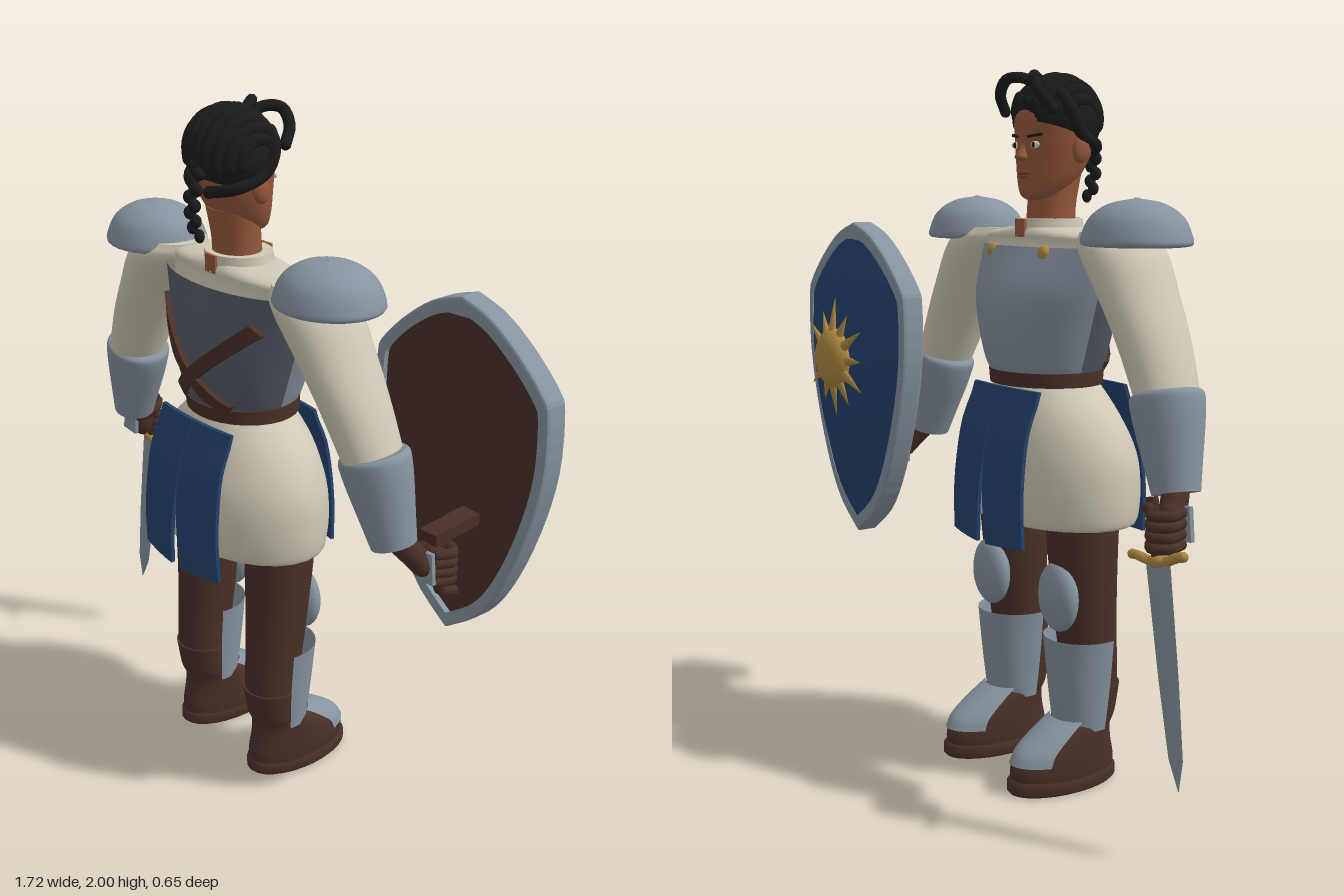
import * as THREE from 'three';
import { mergeGeometries } from 'three/addons/utils/BufferGeometryUtils.js';

const mat = (name, color, side = THREE.FrontSide) => {
  const m = new THREE.MeshStandardMaterial({ color, side });
  m.name = name;
  return m;
};
const D = THREE.DoubleSide;
const V = (x, y, z) => new THREE.Vector3(x, y, z);

// Skin from rising horizontal rings [y, cx, cz, rx, rz]; an angle of 0 points to +z
function loft(rings, { n = 28, a0 = 0, a1 = Math.PI * 2, steps = 4 } = {}) {
  const full = a1 - a0 > 6.28;
  let list = rings;
  if (steps > 1) {
    const c = new THREE.CatmullRomCurve3(rings.map(r => V(r[0], r[1], r[2])), false, 'catmullrom');
    const e = new THREE.CatmullRomCurve3(rings.map(r => V(r[3], r[4], 0)), false, 'catmullrom');
    const k = (rings.length - 1) * steps;
    list = Array.from({ length: k + 1 }, (_, i) => {
      const p = c.getPoint(i / k), q = e.getPoint(i / k);
      return [p.x, p.y, p.z, q.x, q.y];
    });
  }
  if (full) {
    const f = list[0], l = list[list.length - 1];
    const point = r => [r[0], r[1], r[2], 0, 0];
    list = [point(f), f, ...list, l, point(l)];
  }
  const w = full ? n : n + 1, pos = [], idx = [];
  for (const [y, cx, cz, rx, rz] of list)
    for (let i = 0; i < w; i++) {
      const a = a0 + (a1 - a0) * i / n;
      pos.push(cx + rx * Math.sin(a), y, cz + rz * Math.cos(a));
    }
  for (let j = 0; j < list.length - 1; j++)
    for (let i = 0; i < n; i++) {
      const p = j * w + i, q = j * w + (i + 1) % w;
      idx.push(p, q, q + w, p, q + w, p + w);
    }
  const g = new THREE.BufferGeometry();
  g.setAttribute('position', new THREE.Float32BufferAttribute(pos, 3));
  g.setIndex(idx);
  g.computeVertexNormals();
  return g;
}

// Move every vertex of a geometry by a rule
function bend(g, rule) {
  const p = g.attributes.position;
  for (let i = 0; i < p.count; i++) p.setXYZ(i, ...rule(p.getX(i), p.getY(i), p.getZ(i)));
  g.computeVertexNormals();
  return g;
}

export function createModel() {
  const skin = mat('skin', 0x97583c), hair = mat('hair', 0x1b1b1c, D), cream = mat('creamCloth', 0xcfc9b6);
  const steel = mat('steel', 0x8794a0, D), dark = mat('darkSteel', 0x555c66, D), brown = mat('brownLeather', 0x4a3028);
  const blue = mat('blueCloth', 0x24426e), gold = mat('gold', 0xb08a42), white = mat('eyeWhite', 0xe6e2da), lip = mat('lips', 0x75402f);

  const model = new THREE.Group();
  model.name = 'knight';
  const add = (name, geo, m, parent = body) => {
    const o = new THREE.Mesh(geo, m);
    o.name = name;
    parent.add(o);
    return o;
  };
  const group = (name, parent = body) => {
    const o = new THREE.Group();
    o.name = name;
    parent.add(o);
    return o;
  };
  const ball = (name, m, p, s, parent = body) => {
    const o = add(name, new THREE.SphereGeometry(1, 24, 16), m, parent);
    o.position.set(...p);
    o.scale.set(...s);
    return o;
  };
  // Tube with rounded ends
  const tube = (name, m, pts, r, parent = body) => {
    const ends = [pts[0], pts[pts.length - 1]].map(p => new THREE.SphereGeometry(r, 10, 8).translate(...p));
    const path = new THREE.CatmullRomCurve3(pts.map(p => V(...p)));
    return add(name, mergeGeometries([new THREE.TubeGeometry(path, 20, r, 8), ...ends]), m, parent);
  };
  const body = group('body', model);
  body.position.x = -0.093;

  // Torso, armour plates and skirt
  const chest = [[1.15, 0, .072, .16, .135], [1.2, 0, .07, .18, .165], [1.3, 0, .07, .215, .18], [1.4, 0, .07, .25, .17]];
  const front = [...chest, [1.52, 0, .08, .285, .115]], back = [...chest, [1.52, 0, .08, .285, .14]];
  const inner = chest.map(r => [r[0], 0, r[2], r[3] - .012, r[4] - .012]);
  add('tunic', loft([...inner, [1.52, 0, .08, .275, .103], [1.552, 0, .08, .265, .1], [1.572, 0, .08, .12, .09]]), cream);
  add('breastplate', loft(front, { a0: Math.PI / 2, a1: Math.PI * 1.5 }), steel);
  add('backplate', loft(back, { a0: -Math.PI / 2, a1: Math.PI / 2 }), dark);
  add('skirt', loft([[.75, 0, .09, .295, .19], [.765, 0, .09, .316, .202], [.85, 0, .09, .322, .21], [.95, 0, .088, .31, .2],
    [1.05, 0, .08, .258, .17], [1.15, 0, .075, .155, .13]]), cream);
  add('belt', loft([[1.135, 0, .073, .176, .153], [1.175, 0, .073, .176, .158]], { steps: 1 }), brown);
  add('collar', loft([[1.52, 0, .08, .112, .1], [1.56, 0, .08, .106, .095], [1.595, 0, .082, .1, .09]]), cream);
  for (const d of [-1, 1])
    add('collarNotch', new THREE.BoxGeometry(.045, .05, .008), skin).position.set(0, 1.57, .08 + d * .096);

  // Crossed straps lying on the backplate
  const backZ = (x, y) => {
    const i = Math.max(1, back.findIndex(r => r[0] >= y)), a = back[i - 1], b = back[i];
    const t = THREE.MathUtils.clamp((y - a[0]) / (b[0] - a[0]), 0, 1), mix = k => a[k] + (b[k] - a[k]) * t;
    return mix(2) + mix(4) * Math.sqrt(Math.max(0, 1 - (x / mix(3)) ** 2));
  };
  for (const s of [-1, 1])
    add('backStrap', bend(new THREE.BoxGeometry(.4, .038, .02, 14, 1, 1), (u, v, w) => {
      const x = s * (-.05 + u * .77 + v * .64), y = 1.305 - u * .64 + v * .77;
      return [x, y, backZ(x, y) + .008 + s * w];
    }), brown);

  // Split tabard flaps, front and back
  const depth = new THREE.SplineCurve([[0, .16], [.25, .205], [.5, .226], [.75, .235], [1, .232]].map(p => new THREE.Vector2(...p)));
  for (const d of [-1, 1]) for (const s of [-1, 1])
    add(d < 0 ? 'frontTabard' : 'backTabard', bend(new THREE.BoxGeometry(1, 1, .012, 6, 12, 1), (u, v, w) => {
      const t = .5 - v, gap = .001 + Math.max(0, t - .42) * .036;
      const x = s * (gap + (u + .5) * (.16 + .015 * t - gap));
      const r = depth.getPoint(THREE.MathUtils.clamp(t, 0, 1)).y + w * s * d;
      return [x, 1.13 - .44 * t + Math.abs(x) * .06 * t, .087 + d * r * Math.sqrt(1 - (x / .42) ** 2)];
    }), blue);

  for (const s of [-1, 1]) {
    // Arm, pauldron and bracer
    const arm = group(s > 0 ? 'shieldArm' : 'swordArm');
    add('sleeve', loft([[1.12, s * .56, .065, .08, .085], [1.28, s * .48, .075, .093, .1], [1.4, s * .407, .08, .102, .112],
      [1.52, s * .325, .085, .115, .118], [1.565, s * .28, .085, .08, .085]]), cream, arm);
    add('pauldron', loft([[1.53, s * .385, .087, .14, .125], [1.535, s * .385, .087, .157, .14], [1.555, s * .385, .087, .157, .14],
      [1.605, s * .385, .087, .132, .118], [1.64, s * .385, .087, .078, .07], [1.654, s * .385, .087, 0.004, .004]]), steel, arm);
    ball('pauldronRivet', steel, [s * .385, 1.651, .087], [.01, .005, .01], arm);
    const bracer = add('bracer', loft([[0, 0, 0, .062, .064], [.07, 0, 0, .075, .074], [.17, 0, 0, .095, .088], [.225, 0, 0, .102, .094],
      [.248, 0, 0, .101, .094], [.258, 0, 0, .092, .086]]), steel, arm);
    bracer.position.set(s * .612, .918, .045);
    bracer.rotation.set(.08, 0, s * .27);
    tube('wrist', brown, [[s * .612, .94, .045], [s * .64, .9, .015], [s * .662, .86, -.015]], .036, arm);

    // Gloved fist, reaching further forward on the shield side
    const hand = group('hand', arm);
    hand.position.z = s > 0 ? -.035 : 0;
    ball('palm', brown, [s * .662, .85, -.015], [.04, .06, .035], hand);
    for (let i = 0; i < 4; i++) {
      const y = .89 - i * .027;
      tube('finger', brown, [[s * .693, y, -.005], [s * .703, y - .004, -.05], [s * .665, y - .006, -.075], [s * .635, y - .004, -.055]], .015, hand);
    }
    tube('thumb', brown, [[s * .63, .87, -.01], [s * .618, .89, -.04], [s * .645, .9, -.07]], .016, hand);
    const plate = add('handPlate', new THREE.BoxGeometry(.065, .09, .012), steel, hand);
    plate.position.set(s * .672, .855, .02);
    plate.rotation.z = s * .1;

    // Leg, boot and leg armour
    const leg = group(s > 0 ? 'shieldSideLeg' : 'swordSideLeg');
    leg.position.x = s * .171;
    add('trouser', loft([[.25, 0, .11, .076, .076], [.3, 0, .108, .08, .08], [.5, 0, .09, .09, .09], [.75, 0, .078, .105, .103], [.92, 0, .085, .11, .11]]), brown, leg);
    add('boot', loft([[.035, 0, .014, .088, .168], [.07, 0, .014, .09, .168], [.12, 0, .024, .088, .147], [.165, 0, .055, .084, .112],
      [.2, 0, .095, .081, .085], [.285, 0, .108, .086, .086]]), brown, leg);
    add('sole', loft([[0, 0, .012, .088, .17], [.008, 0, .012, .095, .178], [.032, 0, .012, .095, .178], [.04, 0, .012, .088, .17]], { steps: 1 }), brown, leg);
    add('footPlate', loft([[.085, 0, .015, .094, .172], [.12, 0, .022, .093, .155], [.165, 0, .055, .09, .12], [.195, 0, .085, .086, .097]],
      { a0: Math.PI - 1, a1: Math.PI + 1 }), steel, leg);
    add('greave', loft([[.165, 0, .083, .086, .085], [.3, 0, .086, .099, .105], [.43, 0, .085, .112, .115]],
      { a0: Math.PI - 1.8, a1: Math.PI + 1.8 }), steel, leg);
    ball('kneePlate', steel, [0, .55, -.003], [.08, .1, .041], leg);

    ball('chestStud', gold, [s * .125, 1.502, -.022], [.024, .024, .018]);
  }

  // Head and face, looking towards -z
  const head = group('head');
  add('neck', loft([[1.52, 0, .085, .078, .072], [1.62, 0, .088, .072, .066], [1.72, 0, .1, .078, .072]]), skin, head);
  add('face', loft([[1.645, 0, .045, .028, .03], [1.66, 0, .053, .06, .056], [1.7, 0, .073, .088, .08], [1.76, 0, .092, .108, .1],
    [1.82, 0, .1, .118, .11], [1.88, 0, .1, .115, .11], [1.95, 0, .1, .07, .07]]), skin, head);
  add('nose', loft([[1.753, 0, -.002, .018, .018], [1.764, 0, -.01, .02, .023], [1.785, 0, -.005, .012, .014], [1.81, 0, .006, .01, .01]], { n: 14 }), skin, head);
  ball('upperLip', lip, [0, 1.719, -.002], [.032, .006, .008], head);
  ball('lowerLip', lip, [0, 1.708, .0], [.026, .007, .008], head);
  for (const s of [-1, 1]) {
    ball('eye', white, [s * .045, 1.796, .0], [.022, .01, .006], head);
    ball('iris', hair, [s * .045, 1.796, -.004], [.008, .008, .004], head);
    const brow = add('brow', new THREE.BoxGeometry(.048, .007, .008), hair, head);
    brow.position.set(s * .047, 1.821, -.001);
    brow.rotation.set(0, -s * .3, s * .12);
    ball('ear', skin, [s * .122, 1.785, .1], [.016, .04, .027], head).rotation.x = .15;
  }

  // Swept hair, forelocks and braid
  const cap = add('hairCap', new THREE.SphereGeometry(1, 32, 20, 0, Math.PI * 2, 0, Math.PI * .62), hair, head);
  cap.scale.set(.14, .118, .115);
  cap.position.set(0, 1.862, .106);
  cap.rotation.x = .38;
  const lock = u => Array.from({ length: 8 }, (_, i) => {
    const a = -1.1 + i * .4, k = Math.cos(u);
    return [Math.sin(u) * (.128 + .006 * Math.cos(a)), 1.86 + .117 * k * Math.cos(a), .104 + .105 * k * Math.sin(a)];
  });
  for (let i = -4; i <= 4; i++) tube('hairLock', hair, lock(i * .27), .019, head);
  for (const s of [-1, 1]) {
    tube('forelock', hair, [[s * .01, 1.95, .06], [s * .03, 1.978, .015], [s * .065, 1.975, -.018], [s * .095, 1.935, -.02], [s * .115, 1.89, .01]], .016, head);
    tube('sideLock', hair, [[s * .1, 1.93, .05], [s * .133, 1.89, .06], [s * .134, 1.83, .09], [s * .11, 1.795, .16], [s * .03, 1.775, .2]], .017, head);
  }
  for (let i = 0; i < 10; i++)
    ball('braid', hair, [(i % 2 ? 1 : -1) * .011, 1.845 - i * .021, .21 + .025 * Math.sin(i * .3)],
      [.022 - i * .0008, .019, .021 - i * .0008], head);

  // Sword
  const sword = group('sword');
  sword.position.set(-.665, .768, -.055);
  sword.rotation.z = -.165;
  const blade = loft([[-.58, 0, 0, .001, .001], [-.5, 0, 0, .028, .007], [-.3, 0, 0, .04, .009], [0, 0, 0, .048, .012]],
    { n: 4, steps: 1 }).toNonIndexed();
  blade.computeVertexNormals();
  add('blade', blade, steel, sword);
  tube('crossguard', gold, [[-.1, .014, 0], [-.08, .012, 0], [-.03, 0, 0], [.03, 0, 0], [.08, .012, 0], [.1, .014, 0]], .013, sword);
  ball('guardBoss', gold, [0, 0, 0], [.035, .018, .022], sword);
  add('swordGrip', new THREE.CylinderGeometry(.016, .016, .16, 12), brown, sword).position.y = .08;

  // Shield: rounded rim, back board, raised blue face
  const shield = group('shield', model);
  shield.position.set(.545, 1.12, 0);
  const half = [[.1, .418], [.2, .35], [.285, .268], [.306, .215], [.306, .06], [.272, -.1], [.205, -.28], [.12, -.42], [0, -.512]];
  const right = new THREE.SplineCurve([[0, .452], ...half].map(p => new THREE.Vector2(...p))).getPoints(32);
  const outline = [...right, ...right.slice(1, -1).reverse().map(p => new THREE.Vector2(-p.x, p.y))];
  const scaled = k => outline.map(p => p.clone().multiplyScalar(k));
  const rimShape = new THREE.Shape(outline);
  rimShape.holes.push(new THREE.Path(scaled(.925)));
  add('shieldRim', new THREE.ExtrudeGeometry(rimShape, { depth: .052, bevelThickness: .009, bevelSize: .007, bevelOffset: -.005, bevelSegments: 2 }),
    steel, shield).position.z = -.198;
  add('shieldBack', new THREE.ExtrudeGeometry(new THREE.Shape(scaled(.94)), { depth: .02, bevelEnabled: false }), brown, shield).position.z = -.18;
  const n = outline.length, pos = [], idx = [];
  for (const [k, z] of [[.94, -.2], [.7, -.238], [.42, -.266], [.2, -.274], [0, -.276]])
    scaled(k).forEach(p => pos.push(p.x, p.y, z));
  for (let j = 0; j < 4; j++)
    for (let i = 0; i < n; i++) {
      const a = j * n + i, b = j * n + (i + 1) % n;
      idx.push(a, b, b + n, a, b + n, a + n);
    }
  const dome = new THREE.BufferGeometry();
  dome.setAttribute('position', new THREE.Float32BufferAttribute(pos, 3));
  dome.setIndex(idx);
  dome.computeVertexNormals();
  add('shieldFace', dome, blue, shield);

  // Sun boss with alternating rays
  ball('sunBoss', gold, [0, .04, -.275], [.092, .092, .05], shield);
  for (let i = 0; i < 12; i++) {
    const len = i % 2 ? .085 : .115, pivot = group('sunRay', shield);
    pivot.position.set(0, .04, -.276);
    pivot.rotation.z = i * Math.PI / 6;
    const ray = add('ray', new THREE.ConeGeometry(.02, len, 8), gold, pivot);
    ray.position.set(0, .075 + len / 2, 0);
    ray.rotation.x = .12;
    ray.scale.z = .6;
  }

  // Shield handle and bracket
  tube('shieldHandle', brown, [[.03, -.15, -.165], [.03, -.155, -.095], [.026, -.19, -.075], [.026, -.33, -.075], [.012, -.375, -.1], [.01, -.4, -.165]], .016, shield);
  const bracket = add('handleBracket', new THREE.BoxGeometry(.06, .034, .16), brown, shield);
  bracket.position.set(.055, -.158, -.08);
  bracket.rotation.x = .1;
  return model;
}
